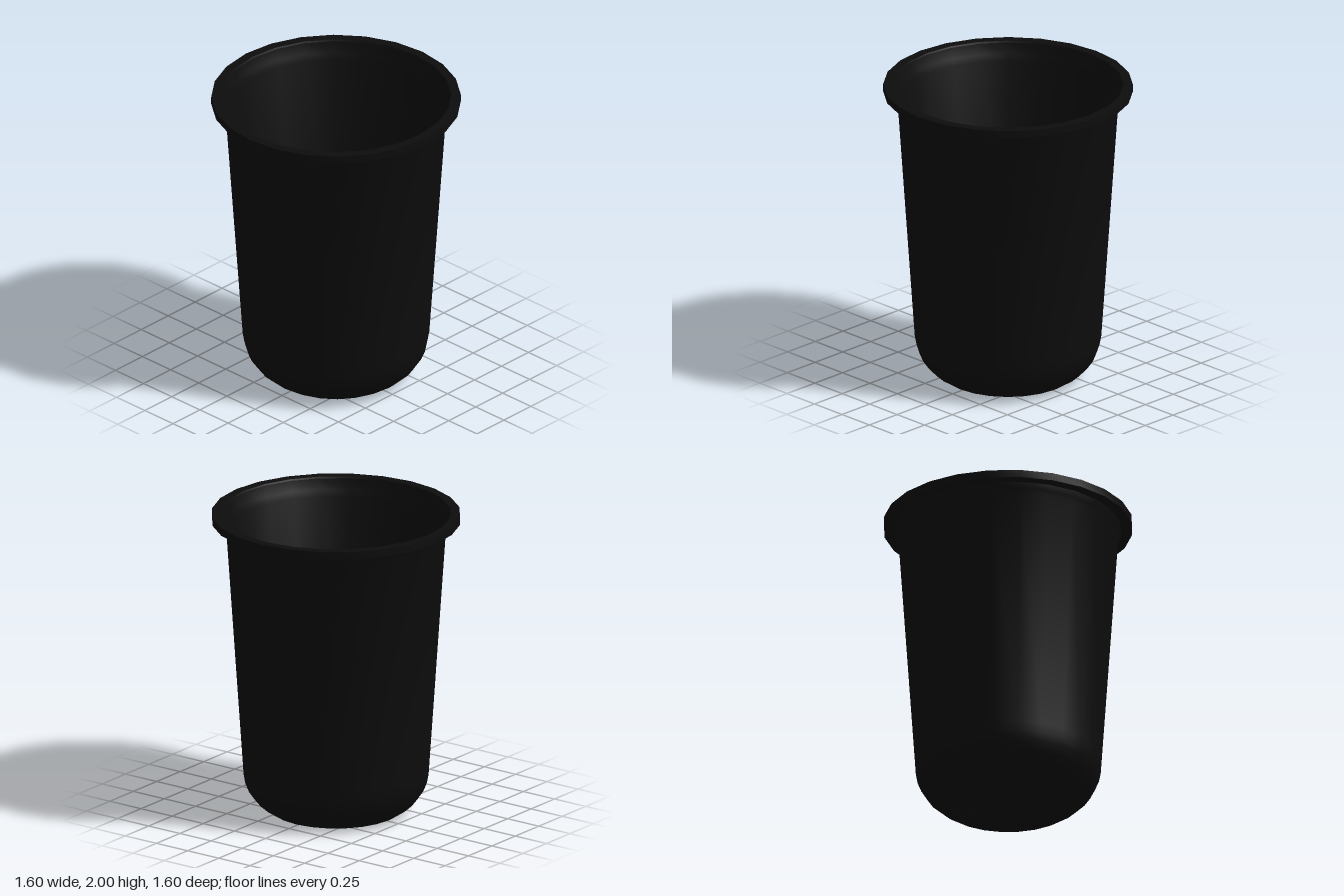
import * as THREE from 'three';
import { toCreasedNormals } from 'three/addons/utils/BufferGeometryUtils.js';

const SIDES = 24;

export function createModel() {
  const group = new THREE.Group();
  group.name = 'cup';
  const black = new THREE.MeshStandardMaterial({ color: 0x0d0d0d });
  black.name = 'black plastic';

  // Turns a profile of [radius, height] pairs around the y axis
  function turn(name, profile) {
    const points = profile.map(([r, y]) => new THREE.Vector2(r, y));
    const geometry = toCreasedNormals(new THREE.LatheGeometry(points, SIDES), 0.55);
    const mesh = new THREE.Mesh(geometry, black);
    mesh.name = name;
    group.add(mesh);
  }

  // Underside with a shallow stepped recess inside the foot
  turn('base', [[0, 0.022], [0.28, 0.022], [0.285, 0.014], [0.35, 0.014], [0.36, 0], [0.4, 0], [0.425, 0.008]]);

  // Outer wall: rounded bottom, tapered side, flared collar
  turn('outerWall', [
    [0.425, 0.008], [0.475, 0.04], [0.525, 0.085], [0.563, 0.14], [0.587, 0.2], [0.598, 0.26],
    [0.602, 0.32], [0.708, 1.88], [0.721, 1.91], [0.728, 1.95],
  ]);

  // Flat rim
  turn('rim', [[0.728, 1.95], [0.8, 1.95], [0.8, 2], [0.74, 2], [0.735, 1.99]]);

  // Inner wall
  turn('innerWall', [
    [0.735, 1.99], [0.715, 1.92], [0.693, 1.88], [0.587, 0.32], [0.583, 0.27], [0.571, 0.21],
    [0.548, 0.152], [0.513, 0.1], [0.466, 0.058], [0.42, 0.03],
  ]);

  // Floor with two low steps
  turn('floor', [[0.42, 0.03], [0.35, 0.024], [0.343, 0.034], [0.28, 0.034], [0.273, 0.042], [0, 0.042]]);

  return group;
}
